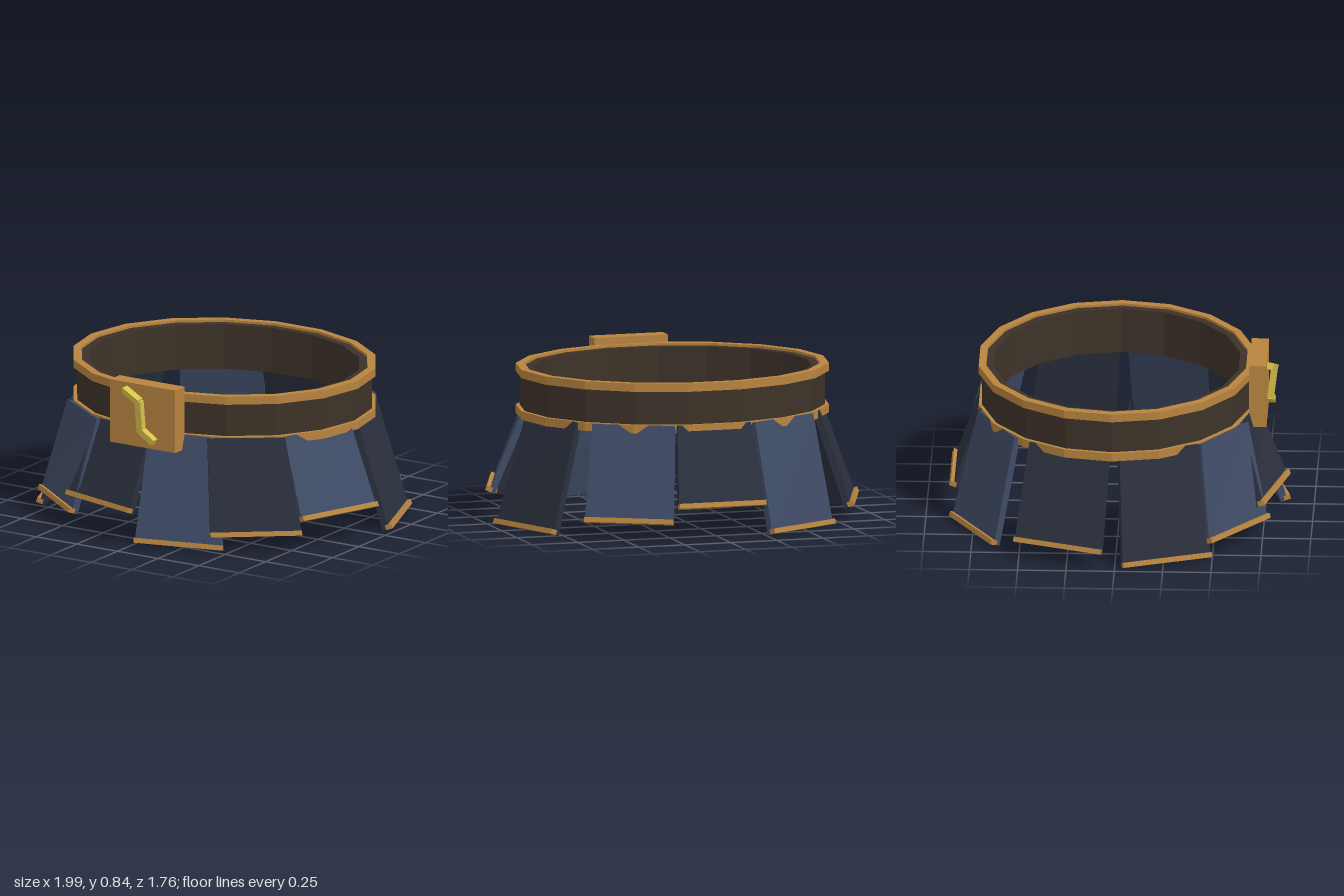
import * as THREE from 'three';

const mat = (color) => new THREE.MeshStandardMaterial({ color, flatShading: true });
const V = (x, y, z) => new THREE.Vector3(x, y, z);

export function createModel() {
  const model = new THREE.Group();
  const leather = mat(0x3d3228), bronze = mat(0xb8843f), gold = mat(0xd8c24a);
  const lightPlate = mat(0x3f4b66), darkPlate = mat(0x2a303d);

  const add = (parent, name, geometry, material) => {
    const mesh = new THREE.Mesh(geometry, material);
    mesh.name = name;
    parent.add(mesh);
    return mesh;
  };

  // Oval belt hoops with a rectangular section
  const hoop = (name, r0, r1, y0, y1, material) => {
    const profile = [[r0, y0], [r1, y0], [r1, y1], [r0, y1], [r0, y0]].map(([x, y]) => new THREE.Vector2(x, y));
    const mesh = add(model, name, new THREE.LatheGeometry(profile, 18, Math.PI / 18), material);
    mesh.scale.z = 0.88;
    mesh.position.z = -0.02;
  };
  hoop('beltBand', 0.73, 0.8, 0.55, 0.79, leather);
  hoop('beltTopTrim', 0.775, 0.82, 0.76, 0.803, bronze);
  hoop('beltBottomTrim', 0.775, 0.82, 0.543, 0.587, bronze);

  // Slab between four outer corners, thickened inwards along the face normal
  const slab = (topA, topB, botA, botB, normal, thickness) => {
    const g = new THREE.BoxGeometry(1, 1, 1);
    const p = g.attributes.position;
    for (let i = 0; i < p.count; i++) {
      const [a, b] = p.getY(i) > 0 ? [topA, topB] : [botA, botB];
      const v = (p.getX(i) < 0 ? a : b).clone();
      if (p.getZ(i) < 0) v.addScaledVector(normal, -thickness);
      p.setXYZ(i, v.x, v.y, v.z);
    }
    g.computeVertexNormals();
    return g;
  };

  // Hanging plate with a raised bar along its lower edge
  const plate = (name, top, bottom, y, material) => {
    const group = new THREE.Group();
    group.name = name;
    const [tA, tB] = top.map(([x, z]) => V(x, 0.585, z));
    const [bA, bB] = bottom.map(([x, z]) => V(x, y, z));
    const across = bB.clone().sub(bA);
    const up = tA.clone().add(tB).sub(bA).sub(bB).normalize();
    const n = across.cross(up).normalize();
    const lA = bA.clone().addScaledVector(n, -0.02);
    const lB = bB.clone().addScaledVector(n, -0.02);
    add(group, 'plateBody', slab(tA, tB, lA, lB, n, 0.035), material);
    const rise = (v) => v.clone().addScaledVector(up, 0.026);
    add(group, 'plateEdge', slab(rise(bA), rise(bB), bA, bB, n, 0.035), bronze);
    model.add(group);
  };

  // Each pair: top corners, bottom corners, then height and colour on +x and -x
  const L = lightPlate, D = darkPlate;
  const pairs = [
    ['frontPlate', [[0, 0.7], [0.34, 0.65]], [[0.02, 0.88], [0.48, 0.76]], 0.025, L, 0.18, D],
    ['frontSidePlate', [[0.34, 0.67], [0.67, 0.44]], [[0.44, 0.79], [0.815, 0.5]], 0.095, D, 0.095, L],
    ['sidePlate', [[0.66, 0.43], [0.8, 0.02]], [[0.825, 0.5], [0.995, 0.05]], 0.175, L, 0.022, D],
    ['rearSidePlate', [[0.8, -0.04], [0.66, -0.45]], [[0.995, -0.08], [0.825, -0.53]], 0.022, D, 0.095, D],
    ['rearPlate', [[0.6, -0.53], [0.22, -0.73]], [[0.685, -0.65], [0.28, -0.88]], 0.095, L, 0.022, L],
  ];
  const mirror = ([a, b]) => [[-b[0], b[1]], [-a[0], a[1]]];
  for (const [name, top, bottom, yL, mL, yR, mR] of pairs) {
    plate(name + 'Left', top, bottom, yL, mL);
    plate(name + 'Right', mirror(top), mirror(bottom), yR, mR);
  }
  plate('backPlate', [[0.2, -0.72], [-0.2, -0.72]], [[0.235, -0.88], [-0.235, -0.88]], 0.175, D);

  // Buckle block
  add(model, 'buckle', new THREE.BoxGeometry(0.4, 0.336, 0.09), bronze).position.set(0, 0.673, 0.715);

  // Bent clasp made of three bars
  const bends = [V(-0.1, 0.803, 0.775), V(0, 0.76, 0.795), V(0, 0.6, 0.775), V(0.08, 0.552, 0.78)];
  for (let i = 0; i < 3; i++) {
    const dir = bends[i + 1].clone().sub(bends[i]);
    const bar = add(model, 'clasp', new THREE.BoxGeometry(0.035, dir.length() + 0.01, 0.035), gold);
    bar.position.copy(bends[i]).addScaledVector(dir, 0.5);
    bar.quaternion.setFromUnitVectors(V(0, 1, 0), dir.normalize());
  }
  return model;
}
